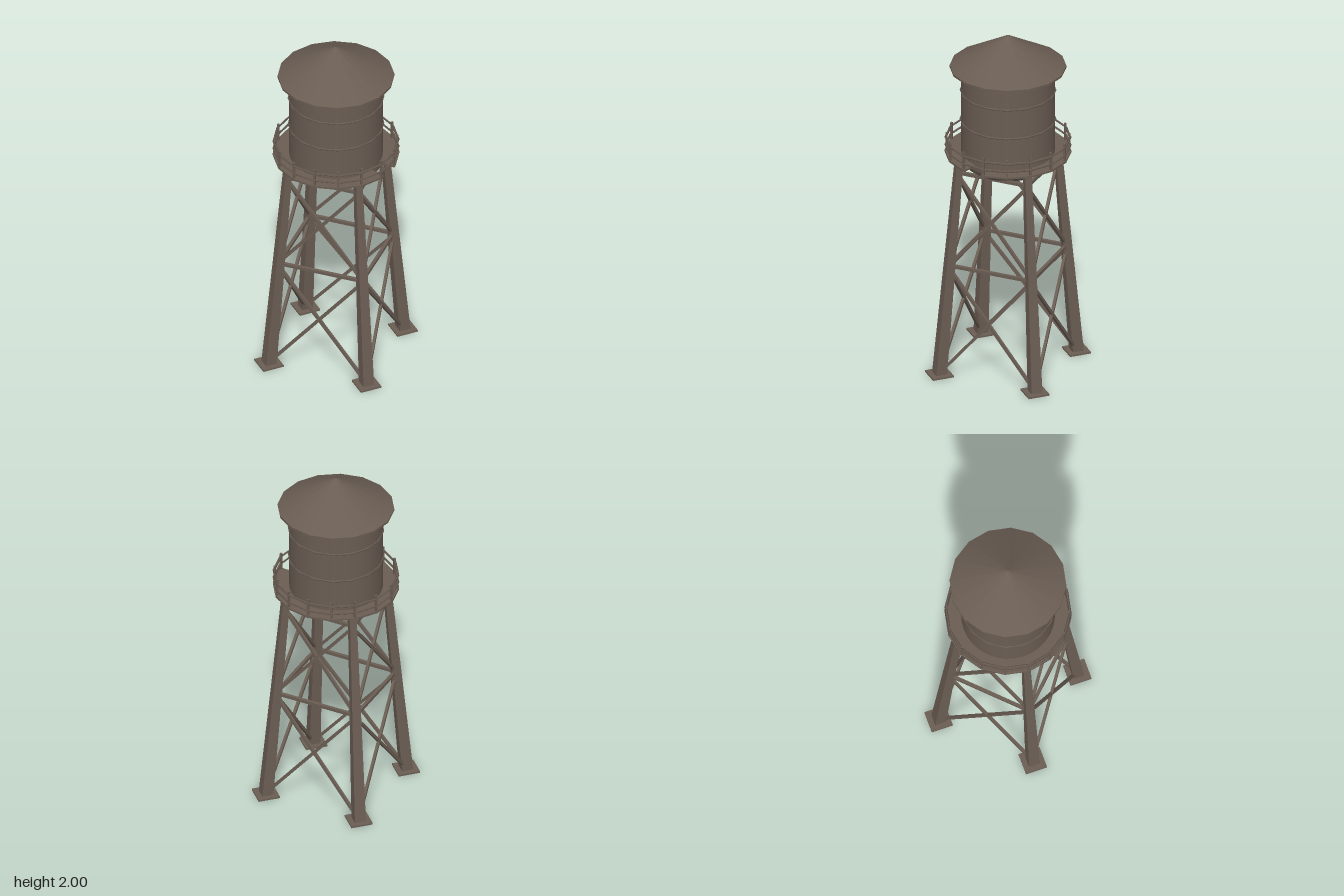
import * as THREE from 'three';

const SIDES = 16;
const STEP = (Math.PI * 2) / SIDES;

export function createModel() {
  const tower = new THREE.Group();
  tower.name = 'waterTower';
  const material = new THREE.MeshStandardMaterial({ color: 0x6a5d53 });

  const add = (name, geometry, parent = tower) => {
    const mesh = new THREE.Mesh(geometry, material);
    mesh.name = name;
    parent.add(mesh);
    return mesh;
  };
  const group = (name) => {
    const g = new THREE.Group();
    g.name = name;
    tower.add(g);
    return g;
  };
  // Square bar between two points
  const bar = (name, a, b, size, parent) => {
    const mesh = add(name, new THREE.BoxGeometry(size, size, a.distanceTo(b)), parent);
    mesh.position.copy(a).add(b).multiplyScalar(0.5);
    mesh.lookAt(b);
    return mesh;
  };

  // Tank wall, with a shallow dished bottom
  add('tankWall', new THREE.CylinderGeometry(0.257, 0.257, 0.54, SIDES * 2, 1, true)).position.y = 1.54;
  const dish = add('tankBottom',
    new THREE.SphereGeometry(0.257, SIDES * 2, 8, 0, Math.PI * 2, Math.PI / 2, Math.PI / 2));
  dish.scale.y = 0.42;
  dish.position.y = 1.27;

  // Hoops around the tank
  for (const y of [1.49, 1.665]) {
    const hoop = add('tankHoop', new THREE.TorusGeometry(0.259, 0.006, 6, SIDES));
    hoop.rotation.x = Math.PI / 2;
    hoop.position.y = y;
  }

  // Conical roof on a thin rim
  add('roof', new THREE.ConeGeometry(0.32, 0.187, SIDES)).position.y = 1.9065;
  add('roofRim', new THREE.CylinderGeometry(0.32, 0.32, 0.012, SIDES)).position.y = 1.808;

  // Ring-shaped walkway with an access opening on the left side
  const start = THREE.MathUtils.degToRad(20.2);
  const end = THREE.MathUtils.degToRad(362.2);
  const angles = [start];
  for (let i = 1; i <= SIDES; i++) angles.push(i * STEP);
  angles.push(end);
  const polar = (angle, radius) => {
    const offset = (angle % STEP) - STEP / 2;
    const r = (radius * Math.cos(STEP / 2)) / Math.cos(offset);
    return new THREE.Vector2(Math.cos(angle) * r, Math.sin(angle) * r);
  };
  const outline = [
    ...angles.map((a) => polar(a, 0.347)),
    ...[...angles].reverse().map((a) => polar(a, 0.25)),
  ];
  const deck = new THREE.ExtrudeGeometry(new THREE.Shape(outline), { depth: 0.011, bevelEnabled: false });
  deck.rotateX(Math.PI / 2);
  add('walkway', deck).position.y = 1.297;

  // Railing
  const railing = group('railing');
  for (let i = 0; i < SIDES; i++) {
    const post = add('railingPost', new THREE.BoxGeometry(0.012, 0.114, 0.012), railing);
    post.position.set(Math.cos(i * STEP) * 0.337, 1.343, Math.sin(i * STEP) * 0.337);
    post.rotation.y = -i * STEP;
  }
  for (const y of [1.33, 1.376]) {
    const rail = add('railingRail', new THREE.TorusGeometry(0.341, 0.007, 4, SIDES), railing);
    rail.rotation.x = Math.PI / 2;
    rail.position.y = y;
  }

  // Tapered, inward-leaning legs on square foot plates
  const FOOT = 0.285, TOP = 0.203, HEIGHT = 1.288;
  const corner = (i, y) => {
    const s = FOOT + ((TOP - FOOT) * y) / HEIGHT;
    const a = Math.PI / 4 + (i * Math.PI) / 2;
    return new THREE.Vector3(Math.sign(Math.cos(a)) * s, y, Math.sign(Math.sin(a)) * s);
  };
  const legs = group('legs');
  for (let i = 0; i < 4; i++) {
    const foot = corner(i, 0);
    // Shear the upright so that both ends stay level
    const leg = new THREE.CylinderGeometry(0.027, 0.045, HEIGHT, 4).toNonIndexed();
    leg.translate(0, HEIGHT / 2, 0);
    const p = leg.attributes.position;
    for (let v = 0; v < p.count; v++) {
      const c = corner(i, p.getY(v));
      p.setXYZ(v, p.getX(v) + c.x, p.getY(v), p.getZ(v) + c.z);
    }
    leg.computeVertexNormals();
    add('leg', leg, legs);

    const plate = add('footPlate', new THREE.BoxGeometry(0.122, 0.01, 0.122), legs);
    plate.position.set(foot.x, 0.005, foot.z);
    plate.rotation.y = Math.PI / 4;
  }

  // Horizontal struts and crossed braces on all four sides
  const bracing = group('bracing');
  for (let i = 0; i < 4; i++) {
    for (const y of [0.655, 1.213]) {
      bar('strut', corner(i, y), corner(i + 1, y), 0.018, bracing);
    }
    for (const [low, high] of [[0.01, 0.64], [0.66, 1.2]]) {
      bar('crossBrace', corner(i, low), corner(i + 1, high), 0.016, bracing);
      bar('crossBrace', corner(i + 1, low), corner(i, high), 0.016, bracing);
    }
  }

  return tower;
}
